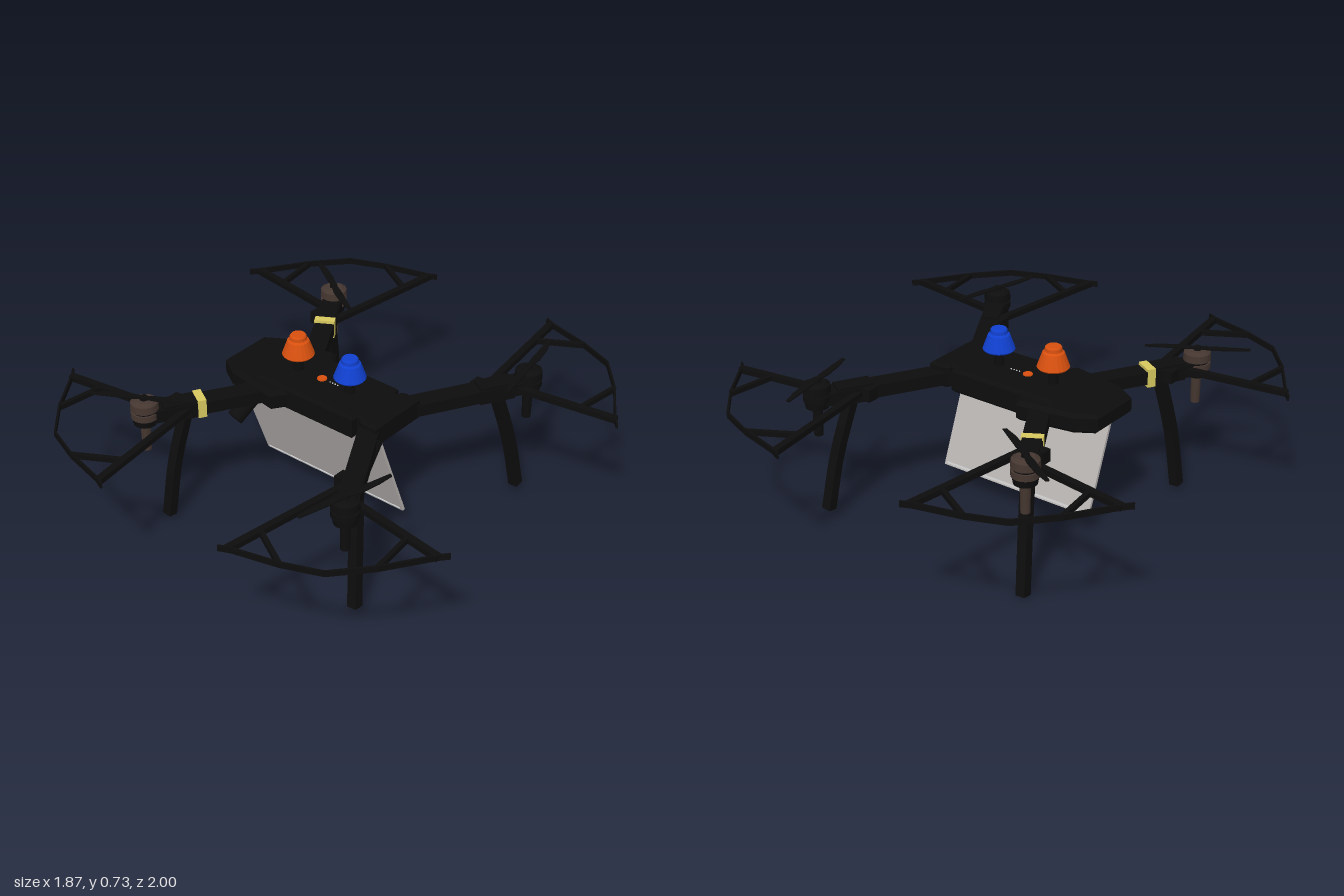
import * as THREE from 'three';

const mat = (color, extra = {}) => new THREE.MeshStandardMaterial({ color, ...extra });
const BLACK = mat(0x0d0d0d, { flatShading: true });
const BROWN = mat(0x453630);
const DARK = mat(0x0d0d0d);
const ORANGE = mat(0xd8500f);
const BLUE = mat(0x1040d0);
const YELLOW = mat(0xd8c860);
const PANEL = mat(0xb8b4b2);
const GREY = mat(0xcccccc);
const V = (x, y, z) => new THREE.Vector3(x, y, z);

export function createModel() {
  const root = new THREE.Group();
  const add = (name, geo, material, parent = root) => {
    const m = new THREE.Mesh(geo, material);
    m.name = name;
    parent.add(m);
    return m;
  };

  // Box running from a to b, with a given width and height
  const bar = (name, a, b, w, h, material, parent) => {
    const m = add(name, new THREE.BoxGeometry(w, h, a.distanceTo(b)), material, parent);
    m.position.copy(a).add(b).multiplyScalar(0.5);
    m.lookAt(b);
    return m;
  };

  // Cylinder standing between two heights
  const post = (name, x, z, y0, y1, r0, r1, material, parent, sides = 20) => {
    const m = add(name, new THREE.CylinderGeometry(r1, r0, y1 - y0, sides), material, parent);
    m.position.set(x, (y0 + y1) / 2, z);
    return m;
  };

  // Bevelled plate from half an outline [x, halfWidth], mirrored in z
  const plate = (name, half, y0, y1, b) => {
    const pts = [
      ...half.map(([x, z]) => new THREE.Vector2(x, -z)),
      ...half.slice().reverse().map(([x, z]) => new THREE.Vector2(x, z)),
    ];
    const geo = new THREE.ExtrudeGeometry(new THREE.Shape(pts), {
      depth: y1 - y0 - 2 * b, bevelEnabled: true, bevelSegments: 1,
      bevelSize: b, bevelThickness: b, bevelOffset: -b,
    });
    geo.rotateX(-Math.PI / 2).translate(0, y0 + b, 0);
    return add(name, geo, BLACK);
  };

  // Body
  plate('wideBody', [[-0.49, 0.11], [-0.41, 0.16], [-0.18, 0.2], [-0.14, 0.14]], 0.485, 0.565, 0.015);
  plate('mainBody', [[-0.3, 0.14], [0.18, 0.14]], 0.475, 0.575, 0.012);
  plate('bodyNeck', [[0.1, 0.11], [0.24, 0.11]], 0.485, 0.572, 0.008);
  plate('endBlock', [[0.2, 0.12], [0.22, 0.135], [0.29, 0.135]], 0.48, 0.575, 0.01);

  // Beacons on stems
  const beaconProfile = [[0, 0.638], [0.058, 0.638], [0.064, 0.645], [0.043, 0.704],
    [0.034, 0.71], [0.033, 0.724], [0.028, 0.73], [0, 0.73]].map(p => new THREE.Vector2(...p));
  for (const [name, x, z, material] of [['orange', -0.205, 0, ORANGE], ['blue', 0.058, 0.005, BLUE]]) {
    const g = new THREE.Group();
    g.name = name + 'Beacon';
    root.add(g);
    post('beaconStem', x, z, 0.56, 0.64, 0.02, 0.02, DARK, g);
    const geo = new THREE.LatheGeometry(beaconProfile, 20);
    const lampMat = material.clone();
    lampMat.flatShading = true;
    add('beaconLamp', geo, lampMat, g).position.set(x, 0, z);
  }
  post('button', -0.085, 0, 0.57, 0.58, 0.021, 0.019, ORANGE);
  for (let i = 0; i < 4; i++) post('indicatorDot', -0.045 + i * 0.013, 0, 0.57, 0.578, 0.003, 0.003, GREY, root, 8);

  // Tilted hanging panel with a bottom lip
  bar('panel', V(-0.067, 0.48, 0.095), V(-0.067, 0.09, -0.055), 0.705, 0.012, PANEL);
  bar('panelLip', V(-0.067, 0.104, -0.049), V(-0.067, 0.096, -0.052), 0.68, 0.018, GREY);

  // Propeller blade outline, pointing along +x
  const blade = new THREE.Shape([[0, -0.01], [0.06, -0.02], [0.14, -0.018], [0.205, -0.008],
    [0.207, 0.006], [0.06, 0.012], [0, 0.01]].map(p => new THREE.Vector2(...p)));
  const bladeGeo = new THREE.ExtrudeGeometry(blade, { depth: 0.005, bevelEnabled: false });
  bladeGeo.rotateX(-Math.PI / 2);

  // Guard rim outline for one corner
  const rim = [[0.285, 0.995], [0.33, 0.975], [0.51, 0.93], [0.66, 0.87],
    [0.78, 0.735], [0.9, 0.555], [0.93, 0.52]];

  for (const sx of [-1, 1]) for (const sz of [-1, 1]) {
    const corner = new THREE.Group();
    corner.name = (sz > 0 ? 'front' : 'back') + (sx > 0 ? 'Left' : 'Right') + 'Corner';
    root.add(corner);
    const P = (x, y, z) => V(sx * x, y, sz * z);
    const mx = 0.495, mz = 0.56;
    const motorMat = sx < 0 ? BROWN : DARK;

    // Arm with a thicker outer knuckle and a side clamp
    const start = sx < 0 ? P(0.25, 0.522, 0.14) : P(0.24, 0.522, 0.11);
    const end = P(mx, 0.522, mz);
    const along = t => start.clone().lerp(end, t);
    bar('arm', start, end, 0.08, 0.052, BLACK, corner);
    bar('armKnuckle', along(0.58), along(0.86), 0.072, 0.072, BLACK, corner);
    const clamp = along(0.67);
    bar('armClamp', clamp, clamp.clone().add(V(-0.07, 0, 0)), 0.05, 0.05, BLACK, corner);
    if (sx < 0) bar('armBand', along(0.52), along(0.59), 0.083, 0.076, YELLOW, corner);

    // Motor housing, shaft hub and lower post
    post('motorMount', sx * mx, sz * mz, 0.485, 0.515, 0.045, 0.05, BLACK, corner);
    post('motorBase', sx * mx, sz * mz, 0.515, 0.54, 0.054, 0.054, motorMat, corner);
    post('motorCore', sx * mx, sz * mz, 0.54, 0.55, 0.046, 0.046, DARK, corner);
    post('motorBell', sx * mx, sz * mz, 0.55, 0.58, 0.055, 0.053, motorMat, corner);
    post('motorCap', sx * mx, sz * mz, 0.58, 0.59, 0.05, 0.035, motorMat, corner);
    post('propellerHub', sx * mx, sz * mz, 0.59, 0.604, 0.016, 0.014, DARK, corner);
    post('lowerPost', sx * mx, sz * mz, 0.365, 0.49, 0.018, 0.02, motorMat, corner);

    // Two-bladed propeller
    const prop = new THREE.Group();
    prop.name = 'propeller';
    prop.position.set(sx * mx, 0.595, sz * mz);
    const heading = sx < 0 ? Math.atan2(0.107, 0.175) : Math.atan2(0.205, -0.045);
    prop.rotation.y = sx < 0 ? sz * heading : -sz * heading;
    corner.add(prop);
    for (const turn of [0, Math.PI]) add('blade', bladeGeo, BLACK, prop).rotation.y = turn;

    // Guard: thin outer rim, two struts and two braces
    const gy = 0.523;
    for (let i = 0; i < rim.length - 1; i++) {
      const [a, b] = [rim[i], rim[i + 1]];
      bar('guardRim', P(a[0], gy, a[1]), P(b[0], gy, b[1]), 0.008, 0.024, BLACK, corner);
    }
    bar('guardStrut', P(0.39, gy, 0.43), P(0.315, gy, 0.98), 0.028, 0.022, BLACK, corner);
    bar('guardStrut', P(0.43, gy, 0.485), P(0.905, gy, 0.555), 0.028, 0.022, BLACK, corner);
    bar('guardBrace', P(0.335, gy, 0.83), P(0.51, gy, 0.93), 0.018, 0.02, BLACK, corner);
    bar('guardBrace', P(0.755, gy, 0.535), P(0.78, gy, 0.735), 0.018, 0.02, BLACK, corner);

    // Bowed landing leg
    const dz = sz > 0 ? [0.405, 0.452, 0.48] : [0.44, 0.505, 0.545];
    const footY = sx > 0 ? 0.04 : sz > 0 ? 0.02 : 0.003;
    const path = new THREE.CatmullRomCurve3([
      P(0.42, 0.52, dz[0]), P(0.455, 0.27, dz[1]), P(0.475, footY, dz[2])]);
    const s = 0.02;
    const section = new THREE.Shape([[-s, -s], [s, -s], [s, s], [-s, s]].map(p => new THREE.Vector2(...p)));
    add('leg', new THREE.ExtrudeGeometry(section, { steps: 10, extrudePath: path }), BLACK, corner);

    // Slanted barrel under each front arm
    if (sz > 0) {
      const a = P(0.285, 0.52, 0.14), b = P(0.31, 0.43, 0.26);
      const geo = new THREE.CylinderGeometry(0.034, 0.034, a.distanceTo(b), 16);
      const barrel = add('barrel', geo, DARK, corner);
      barrel.position.copy(a).add(b).multiplyScalar(0.5);
      barrel.quaternion.setFromUnitVectors(V(0, 1, 0), b.clone().sub(a).normalize());
    }
  }
  return root;
}
